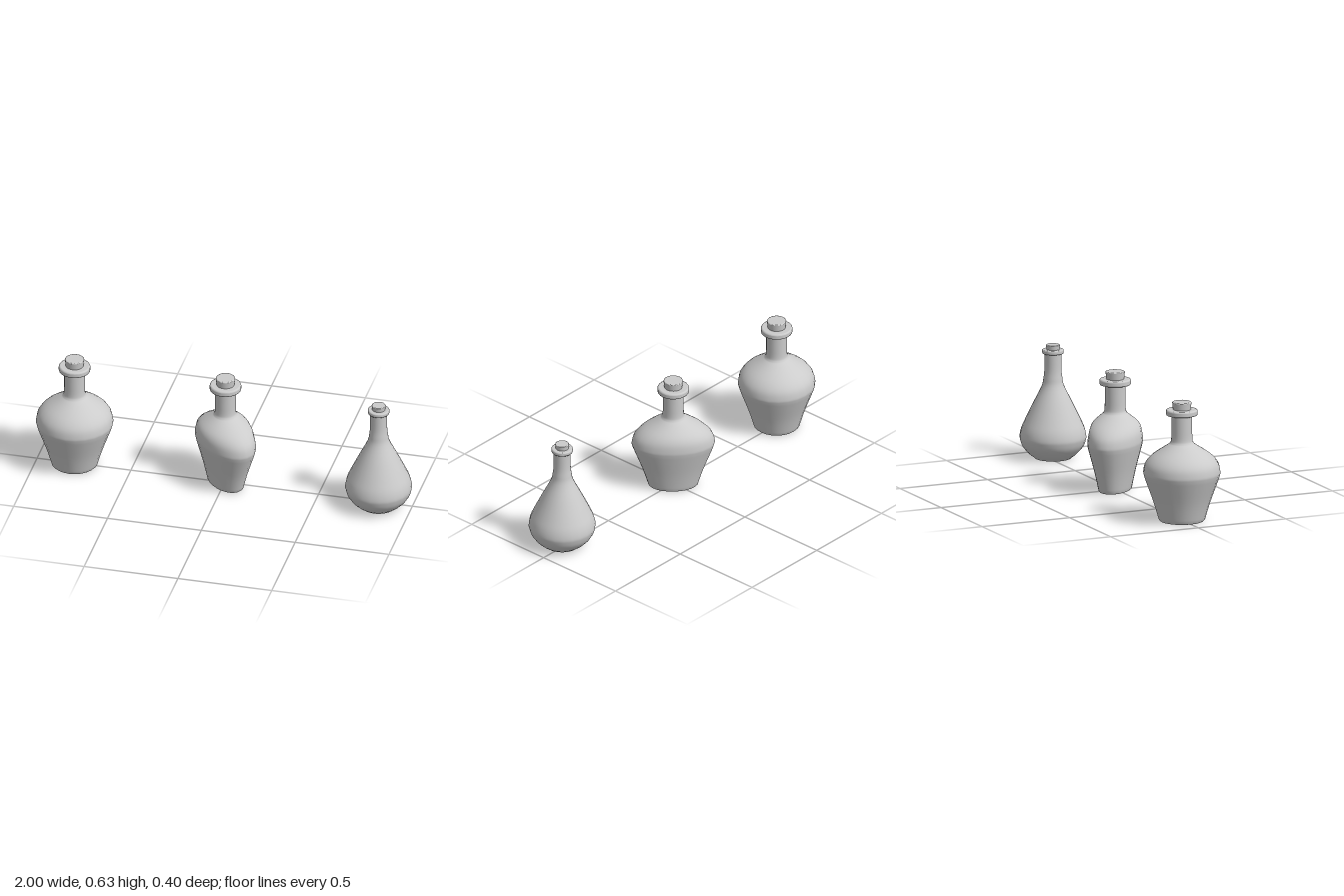
import * as THREE from 'three';

const SIDES = 24;
const material = new THREE.MeshStandardMaterial({ color: 0xcccccc });
const vec = (pts) => pts.map(([r, y]) => new THREE.Vector2(r, y));

function lathe(name, points) {
  const mesh = new THREE.Mesh(new THREE.LatheGeometry(points, SIDES), material);
  mesh.name = name;
  return mesh;
}

// Closed disc with small rounded edges, tapering from r0 to r1
function disc(name, r0, r1, y0, y1, bevel) {
  const b = bevel, c = bevel * 0.3;
  return lathe(name, vec([
    [0, y0], [r0 - b - 0.001, y0], [r0 - b, y0], [r0 - c, y0 + c], [r0, y0 + b], [r0, y0 + b + 0.001],
    [r1, y1 - b - 0.001], [r1, y1 - b], [r1 - c, y1 - c], [r1 - b, y1], [r1 - b - 0.001, y1], [0, y1],
  ]));
}

// Flat base with a small bevel, then a smooth curve up to the neck
function glass(base, profile) {
  const curve = new THREE.SplineCurve(vec(profile));
  return lathe('glassBody', [
    ...vec([[0, 0], [base - 0.001, 0], [base, 0.0005]]),
    ...curve.getPoints(44),
  ]);
}

function bottle(name, base, profile, lip, cork) {
  const group = new THREE.Group();
  group.name = name;
  group.add(glass(base, profile), disc('lip', ...lip), disc('cork', ...cork));
  return group;
}

const wideProfile = [
  [0.12, 0.006], [0.148, 0.1], [0.184, 0.2], [0.197, 0.238], [0.2, 0.262], [0.189, 0.305],
  [0.152, 0.348], [0.078, 0.398], [0.061, 0.412], [0.055, 0.432], [0.054, 0.49], [0.054, 0.57],
];
const dropProfile = [
  [0.1, 0.006], [0.129, 0.029], [0.157, 0.063], [0.17, 0.095], [0.173, 0.12], [0.164, 0.16],
  [0.142, 0.21], [0.101, 0.295], [0.059, 0.38], [0.049, 0.425], [0.044, 0.475], [0.044, 0.565],
];
const wideLip = [0.082, 0.082, 0.557, 0.588, 0.007];
const wideCork = [0.045, 0.05, 0.57, 0.628, 0.004];

export function createModel() {
  const model = new THREE.Group();
  model.name = 'bottles';

  // Round wide bottle
  const round = bottle('roundBottle', 0.114, wideProfile, wideLip, wideCork);
  round.position.x = -0.8;

  // Flattened bottle: oval body blending to a round neck
  const oval = bottle('ovalBottle', 0.114, wideProfile, wideLip, wideCork);
  const geometry = oval.children[0].geometry;
  const pos = geometry.attributes.position;
  for (let i = 0; i < pos.count; i++) {
    const blend = 1 - THREE.MathUtils.smoothstep(pos.getY(i), 0.29, 0.43);
    pos.setX(i, pos.getX(i) * (1 + 0.075 * blend));
    pos.setZ(i, pos.getZ(i) * (1 - 0.34 * blend));
  }
  // Normals follow the squash, keeping the lathe seam smooth
  const normal = geometry.attributes.normal;
  for (let i = 0; i < pos.count; i++) {
    const blend = 1 - THREE.MathUtils.smoothstep(pos.getY(i), 0.29, 0.43);
    const n = new THREE.Vector3(
      normal.getX(i) / (1 + 0.075 * blend), normal.getY(i), normal.getZ(i) / (1 - 0.34 * blend),
    ).normalize();
    normal.setXYZ(i, n.x, n.y, n.z);
  }
  oval.rotation.y = -Math.PI / 4;
  oval.position.set(0.003, 0, -0.004);

  // Teardrop bottle
  const drop = bottle('teardropBottle', 0.094, dropProfile,
    [0.056, 0.056, 0.553, 0.575, 0.005], [0.033, 0.036, 0.56, 0.6, 0.003]);
  drop.position.set(0.827, 0, 0.027);

  model.add(round, oval, drop);
  return model;
}
